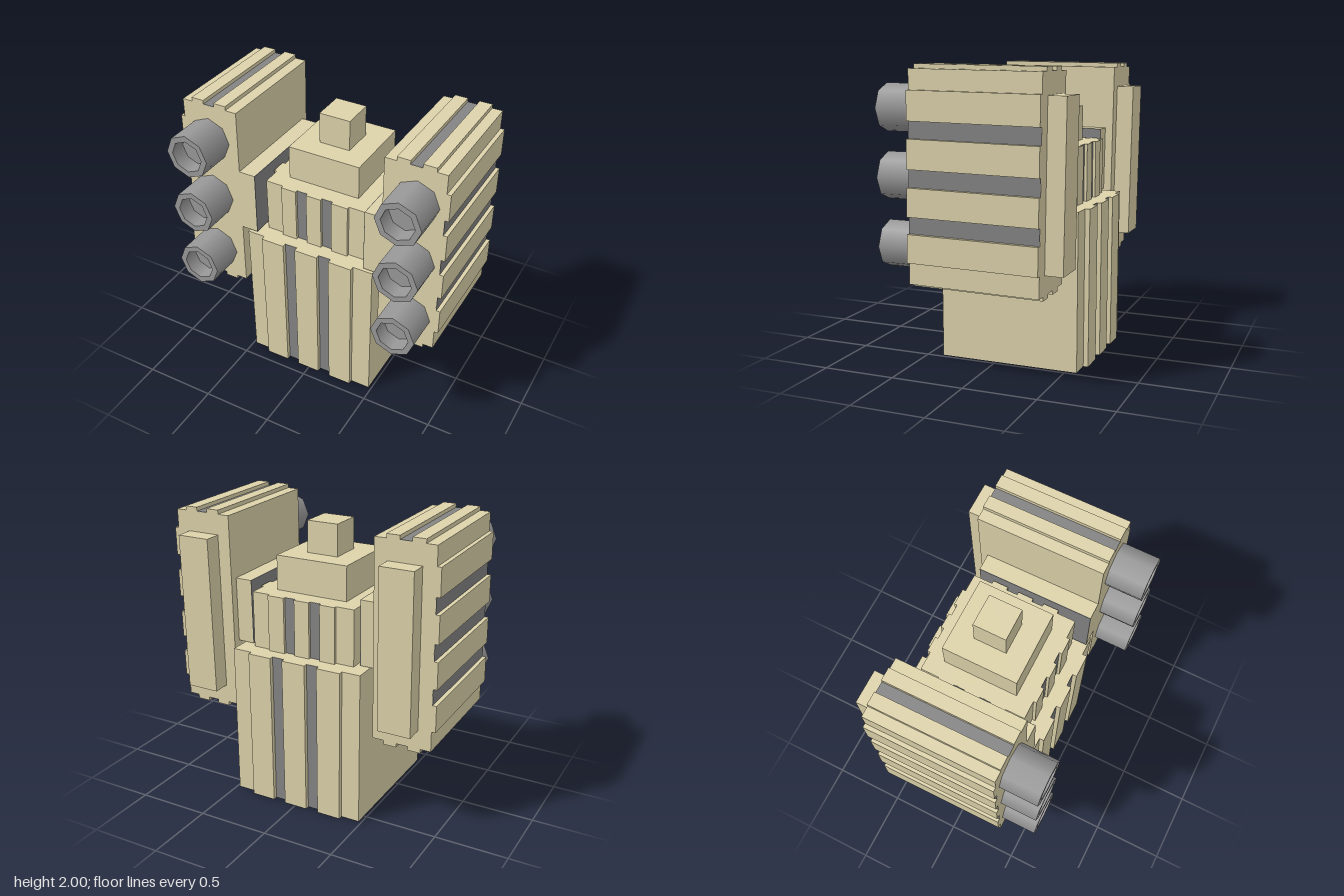
import * as THREE from 'three';

const material = (color) => new THREE.MeshStandardMaterial({ color, flatShading: true });

export function createModel() {
  const model = new THREE.Group();
  const tan = material(0xddd3ab);
  const dark = material(0x848484);
  const underside = material(0x666666);
  const steel = new THREE.MeshStandardMaterial({ color: 0x999999 });

  function add(parent, name, geometry, mat) {
    const mesh = new THREE.Mesh(geometry, mat);
    mesh.name = name;
    parent.add(mesh);
    return mesh;
  }

  // Box given by its lower and upper corners.
  function block(parent, name, lo, hi, mat) {
    const size = hi.map((v, i) => v - lo[i]);
    const mesh = add(parent, name, new THREE.BoxGeometry(...size), mat);
    mesh.position.set(...hi.map((v, i) => (v + lo[i]) / 2));
    return mesh;
  }

  // Rectangle whose sides carry raised ridges; each ridge is a [from, to] range, ascending.
  function ridgedShape(x0, y0, x1, y1, d, { bottom = [], right = [], top = [], left = [] }) {
    const pts = [];
    const put = (x, y) => pts.push(new THREE.Vector2(x, y));
    const back = (list) => [...list].reverse().map(([a, b]) => [b, a]);
    put(x0, y0);
    for (const [a, b] of bottom) { put(a, y0); put(a, y0 - d); put(b, y0 - d); put(b, y0); }
    put(x1, y0);
    for (const [a, b] of right) { put(x1, a); put(x1 + d, a); put(x1 + d, b); put(x1, b); }
    put(x1, y1);
    for (const [a, b] of back(top)) { put(a, y1); put(a, y1 + d); put(b, y1 + d); put(b, y1); }
    put(x0, y1);
    for (const [a, b] of back(left)) { put(x0, a); put(x0 - d, a); put(x0 - d, b); put(x0, b); }
    return new THREE.Shape(pts);
  }

  const extrude = (shape, depth) => new THREE.ExtrudeGeometry(shape, { depth, bevelEnabled: false });
  // Extrudes a plan (x, -z) upwards from y0 to y1.
  const tower = (shape, y0, y1) => extrude(shape, y1 - y0).rotateX(-Math.PI / 2).translate(0, y0, 0);
  // The gaps between neighbouring ridges.
  const gaps = (list) => list.slice(1).map((r, i) => [list[i][1], r[0]]);
  const e = 0.002;

  // Lower body, ridged front and back
  const baseRidges = [[-0.35, -0.18], [-0.09, 0.08], [0.17, 0.34]];
  const basePlan = ridgedShape(-0.48, -0.39, 0.48, 0.58, 0.033, { bottom: baseRidges, top: baseRidges });
  add(model, 'lowerBody', tower(basePlan, 0.004, 1.07), tan);
  add(model, 'underside', tower(basePlan, 0, 0.004), underside);
  for (const [a, b] of gaps(baseRidges)) {
    block(model, 'lowerGroove', [a, 0.004, 0.38], [b, 1.069, 0.39 + e], dark);
    block(model, 'lowerGroove', [a, 0.004, -0.58 - e], [b, 1.069, -0.57], dark);
  }

  // Middle body, ridged all round
  const midRidges = [[-0.25, -0.14], [-0.06, 0.05], [0.13, 0.25]];
  const sideRidges = [[-0.15, -0.04], [0.04, 0.15], [0.23, 0.34]];
  const midPlan = ridgedShape(-0.38, -0.285, 0.38, 0.475, 0.022,
    { bottom: midRidges, top: midRidges, left: sideRidges, right: sideRidges });
  add(model, 'middleBody', tower(midPlan, 1.07, 1.46), tan);
  for (const [a, b] of gaps(midRidges)) {
    block(model, 'middleGroove', [a, 1.07, 0.275], [b, 1.459, 0.285 + e], dark);
    block(model, 'middleGroove', [a, 1.07, -0.475 - e], [b, 1.459, -0.465], dark);
  }
  for (const [a, b] of gaps(sideRidges)) {
    block(model, 'middleGroove', [0.37, 1.07, -b], [0.38 + e, 1.459, -a], dark);
    block(model, 'middleGroove', [-0.38 - e, 1.07, -b], [-0.37, 1.459, -a], dark);
  }

  // Stepped top
  block(model, 'upperStep', [-0.265, 1.46, -0.36], [0.26, 1.70, 0.17], tan);
  block(model, 'topCap', [-0.115, 1.70, -0.21], [0.11, 1.92, 0.02], tan);

  // Barrel: eight-sided tube with a blind bore, opening towards +z
  const barrelProfile = [[0.155, 0], [0.155, 0.28], [0.113, 0.28], [0.113, 0.17], [0, 0.17]];
  function barrelGeometry() {
    const rings = new THREE.Group();
    for (let i = 0; i < barrelProfile.length - 1; i++) {
      const pair = [barrelProfile[i], barrelProfile[i + 1]].map((p) => new THREE.Vector2(...p));
      add(rings, 'barrelSurface', new THREE.LatheGeometry(pair, 8).rotateX(Math.PI / 2), steel);
    }
    return rings;
  }

  // Side pods, leaning back slightly
  const outerRidges = [[0.755, 0.94], [1.05, 1.235], [1.35, 1.54], [1.65, 1.84]];
  const pivotY = 1.29, pivotZ = -0.06;
  for (const s of [1, -1]) {
    const side = s > 0 ? 'left' : 'right';
    const pod = new THREE.Group();
    pod.name = side + 'Pod';
    pod.position.set(0, pivotY, pivotZ);
    pod.rotation.x = -0.0143;
    const inner = new THREE.Group();
    inner.position.set(0, -pivotY, -pivotZ);
    pod.add(inner);
    model.add(pod);

    // Block placed on this side, with x ranges measured outwards
    const sideBlock = (name, [x0, y0, z0], [x1, y1, z1], mat) => block(inner, name,
      [s > 0 ? x0 : -x1, y0, z0], [s > 0 ? x1 : -x0, y1, z1], mat);

    const capRidges = s > 0 ? [[0.61, 0.70], [0.78, 0.87]] : [[-0.87, -0.78], [-0.70, -0.61]];
    const [xa, xb] = s > 0 ? [0.53, 0.942] : [-0.942, -0.53];
    const outline = ridgedShape(xa, 0.612, xb, 1.97, 0.028,
      { bottom: capRidges, top: capRidges, [s > 0 ? 'right' : 'left']: outerRidges });
    add(inner, 'podBody', extrude(outline, 0.88).translate(0, 0, -0.5), tan);
    for (const [a, b] of gaps(outerRidges)) {
      sideBlock('podGroove', [0.93, a, -0.499], [0.942 + e, b, 0.379], dark);
    }
    sideBlock('podTopGroove', [0.70, 1.96, -0.499], [0.78, 1.97 + e, 0.379], dark);
    sideBlock('podBottomGroove', [0.70, 0.612 - e, -0.499], [0.78, 0.62, 0.379], dark);

    // Arm reaching inwards, with a dark end plate
    sideBlock('arm', [0.414, 1.08, -0.445], [0.53, 1.53, 0.38], tan);
    sideBlock('armEnd', [0.41, 1.08, -0.445], [0.414, 1.53, 0.38], dark);
    sideBlock('rearPack', [0.62, 0.74, -0.62], [0.85, 1.83, -0.5], tan);

    for (const y of [0.835, 1.285, 1.725]) {
      const barrel = barrelGeometry();
      barrel.name = side + 'Barrel';
      barrel.position.set(s * 0.752, y, 0.35);
      model.add(barrel);
    }
  }
  return model;
}
